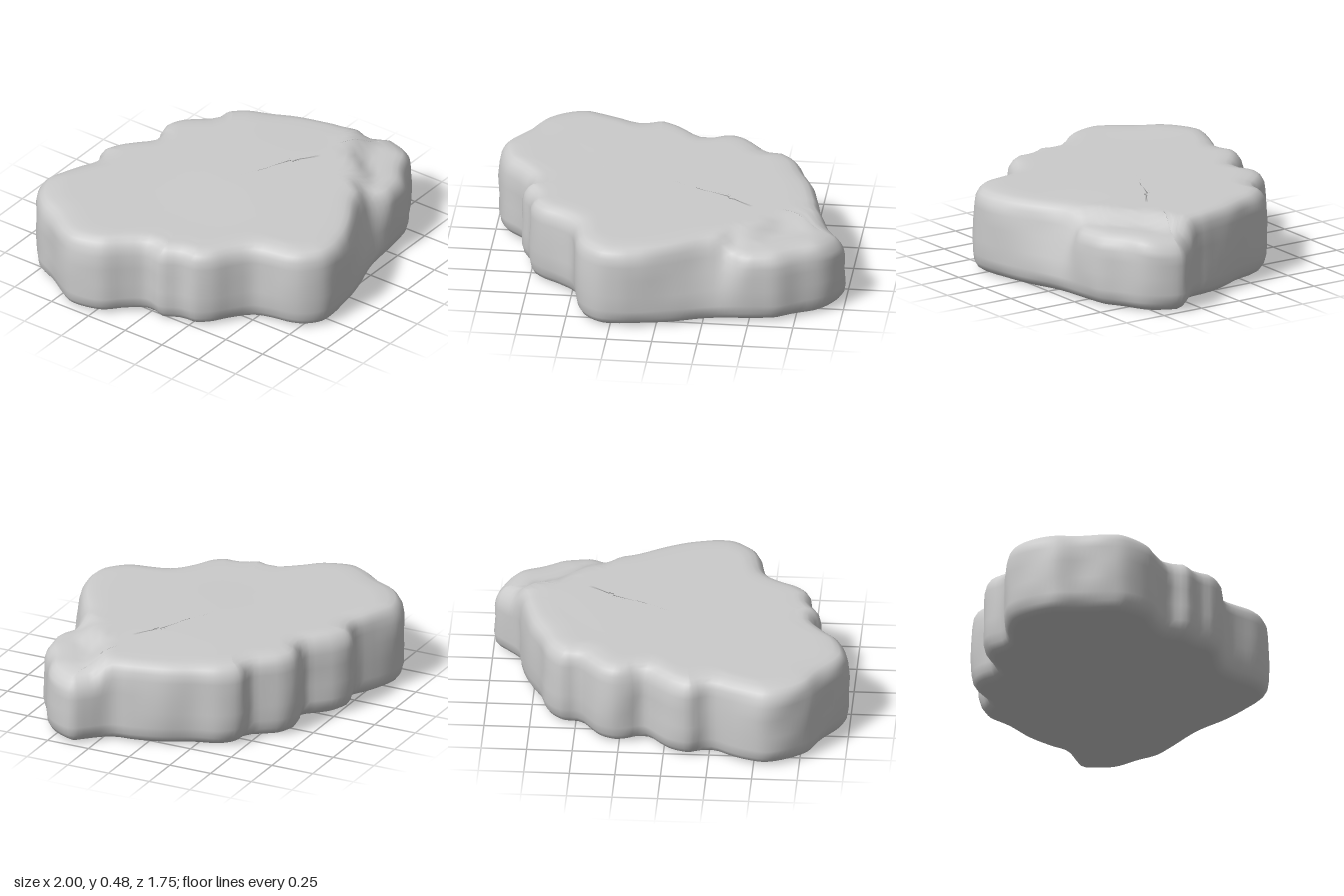
import * as THREE from 'three';

// Plan outline of the slab as x, z pairs, clockwise seen from above
const OUTLINE = [
  -1, -0.38, -0.97, -0.47, -0.88, -0.61, -0.81, -0.74, -0.67, -0.85, -0.56, -0.88, -0.45, -0.85,
  -0.36, -0.81, -0.25, -0.76, -0.14, -0.80, -0.03, -0.76, 0.04, -0.70, 0.12, -0.63, 0.20, -0.66,
  0.28, -0.67, 0.37, -0.63, 0.44, -0.55, 0.49, -0.49, 0.58, -0.48, 0.67, -0.39, 0.72, -0.25,
  0.79, -0.10, 0.84, 0.08, 0.86, 0.18, 0.94, 0.28, 1, 0.36, 0.97, 0.47, 0.90, 0.56, 0.77, 0.63,
  0.66, 0.70, 0.55, 0.72, 0.30, 0.75, 0.10, 0.81, -0.10, 0.86, -0.20, 0.875, -0.32, 0.86,
  -0.42, 0.78, -0.46, 0.70, -0.48, 0.60, -0.51, 0.51, -0.59, 0.44, -0.70, 0.37, -0.76, 0.29,
  -0.77, 0.20, -0.82, 0.10, -0.80, 0, -0.86, -0.09, -0.96, -0.20,
];

// Rings from the bottom centre to the top centre: height, inset, pull to the centre
const RINGS = [
  [0.01, 0.07, 1], [0.01, 0.07, 0.5], [0.01, 0.07, 0.1], [0.012, 0.06, 0], [0.03, 0.03, 0],
  [0.06, 0.01, 0], [0.11, 0, 0], [0.2, 0, 0], [0.3, 0, 0], [0.38, 0.003, 0], [0.425, 0.012, 0],
  [0.455, 0.03, 0], [0.473, 0.052, 0], [0.48, 0.07, 0.02], [0.483, 0.07, 0.06],
  ...[0.1, 0.15, 0.2, 0.25, 0.3, 0.36, 0.44, 0.6, 0.8, 1].map((s) => [0.485, 0.07, s]),
];

const CENTRE = new THREE.Vector2(-0.05, -0.03);
const smooth = THREE.MathUtils.smoothstep;

function createSlabGeometry(sides = 192) {
  const knots = [];
  for (let i = 0; i < OUTLINE.length; i += 2) {
    knots.push(new THREE.Vector3(OUTLINE[i], 0, OUTLINE[i + 1]));
  }
  const curve = new THREE.CatmullRomCurve3(knots, true, 'centripetal');
  const positions = [];
  const indices = [];

  RINGS.forEach(([height, inset, pull], j) => {
    for (let i = 0; i < sides; i++) {
      const p = curve.getPointAt(i / sides);
      const t = curve.getTangentAt(i / sides);

      // Rounded edge with a little weathering on the walls
      const wear = 0.006 * (1 + Math.sin(p.x * 13 + height * 17) * Math.cos(p.z * 11 - height * 9));
      const d = inset + (pull === 0 ? wear : 0.006);
      let x = THREE.MathUtils.lerp(p.x - t.z * d, CENTRE.x, pull);
      let z = THREE.MathUtils.lerp(p.z + t.x * d, CENTRE.y, pull);

      // Front wall leans back beside the ledge
      if (p.z > 0.5) {
        const lean = smooth(x, -0.1, 0.32) * (1 - smooth(x, 0.33, 0.5));
        z -= 0.08 * lean * smooth(height, 0.1, 0.46) * (1 - pull);
      }

      // Broken ledge across the front left corner
      const across = (x - 0.35) * 0.586 + (z - 0.6) * 0.81 + 0.015 * Math.sin(x * 22);
      const drop = smooth(across, -0.05, 0.06) * smooth(x, 0.28, 0.42);
      const tip = 0.03 * smooth(x, 0.82, 1);
      let y = height - drop * (0.062 + tip) * smooth(height, 0.2, 0.47);
      if (height > 0.48) y += 0.004 * Math.sin(x * 4 + 1) * Math.cos(z * 3);
      positions.push(x, y, z);
    }
  });

  for (let j = 0; j < RINGS.length - 1; j++) {
    for (let i = 0; i < sides; i++) {
      const a = j * sides + i;
      const b = j * sides + ((i + 1) % sides);
      const c = a + sides;
      const d = b + sides;
      if (j > 0) indices.push(a, c, b);
      if (j < RINGS.length - 2) indices.push(b, c, d);
      else indices.pop(), indices.pop(), indices.pop(), indices.push(a, c, b);
    }
  }

  const geometry = new THREE.BufferGeometry();
  geometry.setAttribute('position', new THREE.Float32BufferAttribute(positions, 3));
  geometry.setIndex(indices);
  geometry.computeVertexNormals();
  return geometry;
}

export function createModel() {
  const model = new THREE.Group();
  model.name = 'rock';
  const material = new THREE.MeshStandardMaterial({ color: 0xcccccc, roughness: 0.9 });
  const slab = new THREE.Mesh(createSlabGeometry(), material);
  slab.name = 'rockSlab';
  model.add(slab);
  return model;
}
